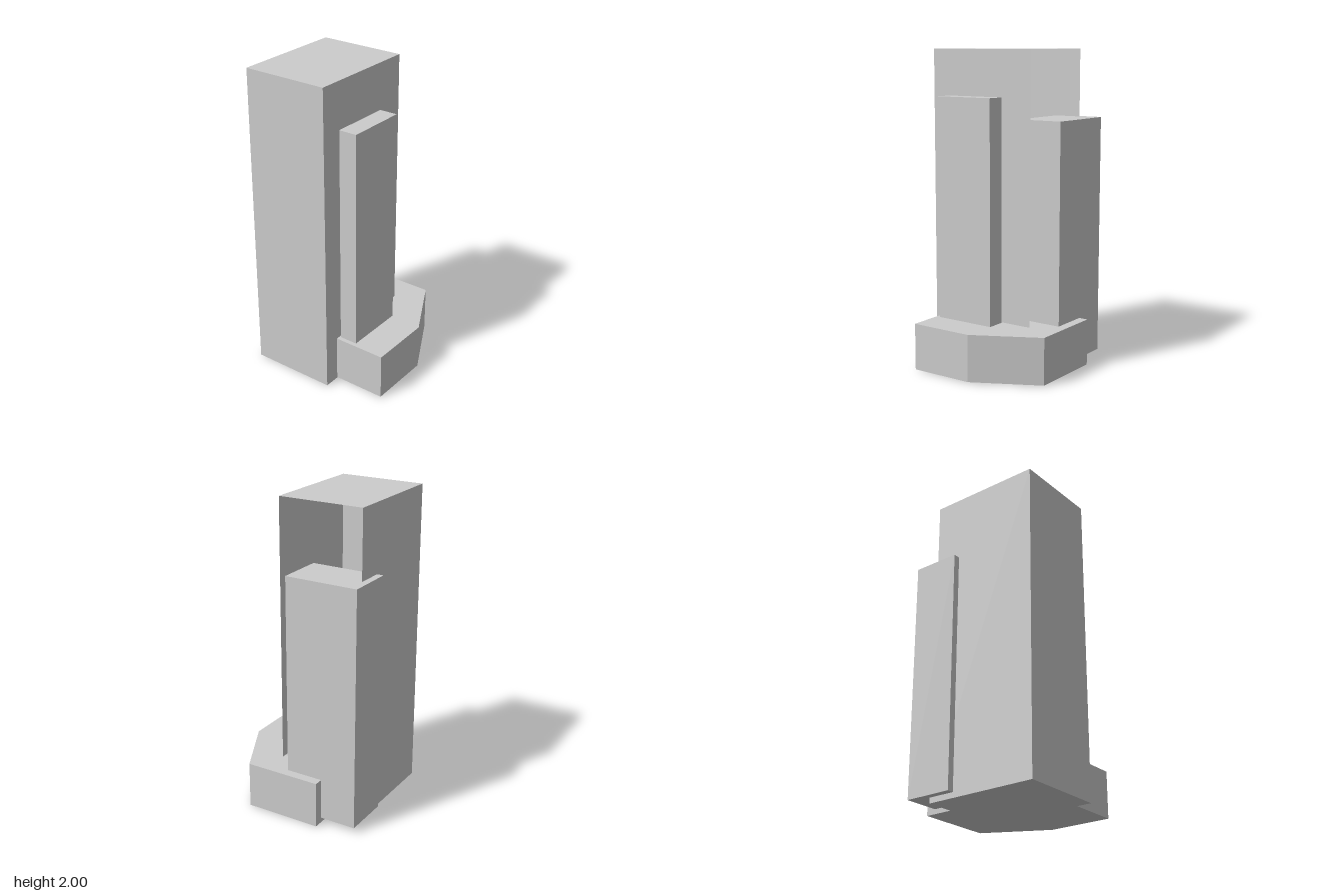
import * as THREE from 'three';

const material = new THREE.MeshStandardMaterial({ color: 0xcccccc, side: THREE.DoubleSide, flatShading: true });

// Box given by its extents on each axis
function block(name, [x0, x1], [y0, y1], [z0, z1]) {
  const geometry = new THREE.BoxGeometry(x1 - x0, y1 - y0, z1 - z0);
  geometry.translate((x0 + x1) / 2, (y0 + y1) / 2, (z0 + z1) / 2);
  const mesh = new THREE.Mesh(geometry, material);
  mesh.name = name;
  return mesh;
}

export function createModel() {
  const model = new THREE.Group();
  model.name = 'towerBuilding';

  // Main tower: a shell whose +x wall is left open (first face of the box)
  const tower = block('mainTower', [-0.465, 0.272], [0, 2], [-0.432, 0.13]);
  const index = Array.from(tower.geometry.index.array);
  tower.geometry.setIndex(index.slice(6));
  tower.geometry.clearGroups();
  model.add(tower);

  // Lower wing passing into the open side
  model.add(block('sideWing', [0.096, 0.405], [0.035, 1.57], [-0.475, 0.004]));

  // Thin slab standing just in front of the tower
  model.add(block('frontSlab', [-0.333, 0.066], [0.29, 1.71], [0.14, 0.259]));

  // Podium with one chamfered front corner (shape y is -z)
  const outline = [[-0.361, 0.24], [-0.361, -0.473], [0.053, -0.473], [0.465, -0.257], [0.465, 0.24]];
  const shape = new THREE.Shape(outline.map(([x, y]) => new THREE.Vector2(x, y)));
  const geometry = new THREE.ExtrudeGeometry(shape, { depth: 0.297, bevelEnabled: false });
  geometry.rotateX(-Math.PI / 2);
  geometry.translate(0, 0.004, 0);
  const podium = new THREE.Mesh(geometry, material);
  podium.name = 'podium';
  model.add(podium);

  return model;
}
